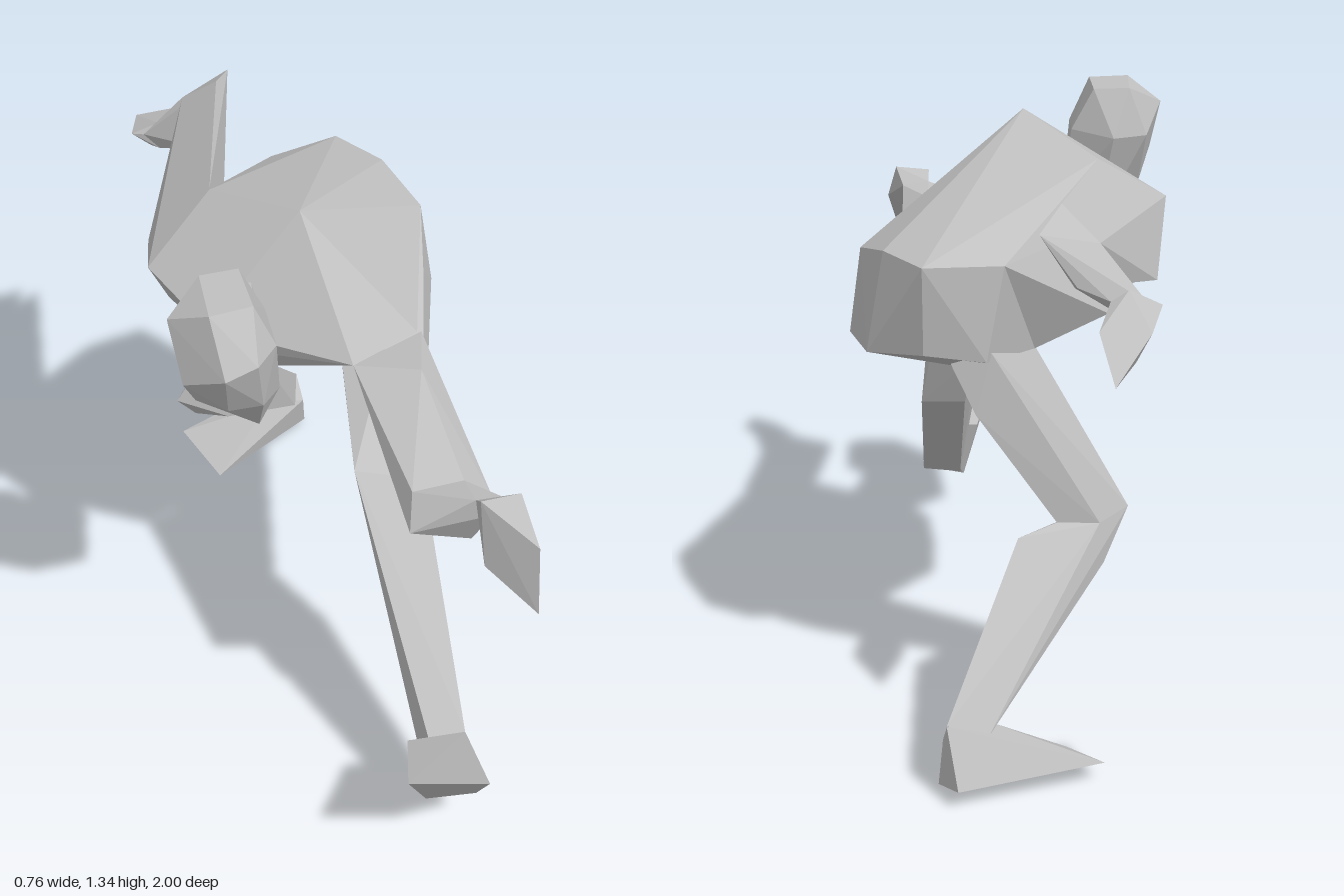
import * as THREE from 'three';
import { ConvexGeometry } from 'three/addons/geometries/ConvexGeometry.js';

const grey = new THREE.MeshStandardMaterial({ color: 0xc0c0c0, flatShading: true });
grey.name = 'plain grey';

// One faceted solid spanned by its corner points
function solid(name, ...rings) {
  const points = rings.flat().map(p => new THREE.Vector3(...p));
  const mesh = new THREE.Mesh(new ConvexGeometry(points), grey);
  mesh.name = name;
  return mesh;
}

// A limb: consecutive cross-sections are joined into segments
function limb(name, segmentNames, rings) {
  const group = new THREE.Group();
  group.name = name;
  segmentNames.forEach((s, i) => group.add(solid(s, rings[i], rings[i + 1])));
  return group;
}

export function createModel() {
  const model = new THREE.Group();
  model.name = 'crouchedRunner';

  // Torso: shoulders, chest and belly, tucked in below the ribs, then the pelvis
  const upperBack = [[-0.03, 1.337, 0.06], [-0.2, 1.27, -0.18], [-0.37, 1.15, -0.06],
    [-0.31, 0.99, -0.16], [-0.22, 0.95, -0.36]];
  const chest = [[-0.26, 1.07, 0.1], [-0.13, 1.02, 0.16], [0.05, 1.045, 0.28], [0.22, 1.06, 0.2],
    [0.025, 0.925, 0.1], [-0.17, 0.935, 0.08]];
  const waist = [[0.2, 1.13, -0.6], [0.29, 1.13, -0.46], [0.35, 1.09, -0.29],
    [0.02, 1.12, -0.55], [-0.05, 0.88, -0.4], [0.085, 0.845, -0.18]];
  const seat = [[0.38, 0.88, -0.27], [0.33, 0.9, -0.48], [0.06, 0.9, -0.56],
    [0.2, 0.92, -0.57], [0.1, 0.815, -0.35]];
  model.add(solid('torso', upperBack, chest, waist));
  model.add(solid('pelvis', waist, seat));

  // Head, bowed forward, and neck
  model.add(solid('head', [
    [-0.385, 1.29, 0.36], [-0.305, 1.34, 0.44], [-0.205, 1.34, 0.42], [-0.3, 1.34, 0.28],
    [-0.21, 1.34, 0.27], [-0.155, 1.235, 0.28], [-0.155, 1.23, 0.42], [-0.285, 1.215, 0.515],
    [-0.21, 1.235, 0.5], [-0.365, 1.16, 0.43], [-0.33, 1.07, 0.37], [-0.345, 1.22, 0.275],
    [-0.26, 1.22, 0.235], [-0.27, 1.09, 0.45], [-0.19, 1.09, 0.445], [-0.13, 1.04, 0.32],
    [-0.18, 0.95, 0.33], [-0.22, 0.97, 0.31]]));
  model.add(solid('neck', [
    [-0.3, 1.12, 0.28], [-0.17, 1.14, 0.31], [-0.14, 1.03, 0.31], [-0.19, 0.96, 0.32],
    [-0.25, 1.03, 0.31], [-0.26, 1.05, 0.08], [-0.12, 1.03, 0.2], [-0.15, 1.18, 0.08],
    [-0.19, 0.95, 0.1]]));

  // Left arm reaching forward, slim at the bent wrist
  model.add(limb('leftArm', ['leftUpperArm', 'leftForearm', 'leftHand'], [
    [[0.05, 1.045, 0.28], [0.19, 1.07, 0.36], [0.23, 1.06, 0.2], [0.1, 0.93, 0.25], [0.22, 0.935, 0.25]],
    [[0.1, 0.96, 0.65], [0.085, 0.885, 0.7], [0.23, 0.833, 0.685], [0.225, 0.845, 0.59],
      [0.29, 0.9, 0.63], [0.22, 0.965, 0.64]],
    [[0.22, 0.985, 0.735], [0.29, 0.975, 0.73], [0.26, 0.945, 0.745]],
    [[0.22, 1.01, 0.77], [0.31, 1.018, 0.77], [0.335, 0.93, 0.8], [0.32, 0.96, 0.89],
      [0.315, 0.81, 0.93], [0.225, 0.86, 0.81]],
  ]));

  // Right arm swung back, forearm turned outwards
  model.add(limb('rightArm', ['rightUpperArm', 'rightForearm', 'rightHand'], [
    [[-0.2, 1.27, -0.18], [-0.37, 1.15, -0.06], [-0.315, 1.0, -0.2], [-0.33, 1.03, -0.36], [-0.15, 1.1, -0.3]],
    [[-0.1, 1.29, -0.66], [-0.05, 1.255, -0.78], [-0.18, 1.22, -0.72], [-0.13, 1.14, -0.78], [-0.13, 1.1, -0.65]],
    [[-0.2, 1.11, -0.78], [-0.28, 1.1, -0.76], [-0.24, 1.06, -0.75]],
    [[-0.31, 1.1, -0.77], [-0.24, 1.13, -0.76], [-0.28, 1.08, -0.9], [-0.17, 1.085, -0.91],
      [-0.2, 0.995, -1.0], [-0.25, 1.005, -0.865]],
  ]));

  // Left leg striding forward
  model.add(limb('leftLeg', ['leftThigh', 'leftShin'], [
    [[0.32, 1.0, -0.13], [0.35, 1.09, -0.29], [0.38, 0.88, -0.27], [0.34, 0.8, -0.14],
      [0.1, 0.92, -0.13], [0.12, 0.82, -0.2]],
    [[0.045, 0.775, 0.33], [0.21, 0.735, 0.345], [0.205, 0.65, 0.27], [0.085, 0.64, 0.27]],
    [[0.14, 0.27, 0.73], [0.23, 0.27, 0.73], [0.245, 0.12, 0.77], [0.14, 0.11, 0.77],
      [0.12, 0.48, 0.345], [0.235, 0.48, 0.345]],
  ]));
  model.add(solid('leftFoot', [
    [0.09, 0.27, 0.73], [0.23, 0.27, 0.73], [0.248, 0.12, 0.79], [0.13, 0.105, 0.77],
    [0.035, 0.365, 0.95], [0.21, 0.38, 1.0]]));

  // Right leg pushing off behind
  model.add(limb('rightLeg', ['rightThigh', 'rightShin'], [
    [[-0.05, 0.88, -0.38], [0.05, 0.92, -0.55], [0.14, 0.9, -0.565], [0.12, 0.81, -0.35],
      [0.085, 0.775, -0.555], [0.075, 0.71, -0.42]],
    [[-0.27, 0.49, -0.4], [-0.14, 0.448, -0.36], [-0.1, 0.49, -0.5], [-0.2, 0.48, -0.48]],
    [[-0.01, 0.475, -0.555], [-0.21, 0.38, -0.48], [0.05, 0.135, -0.79], [0.13, 0.118, -0.8],
      [0.15, 0.17, -0.88], [0.06, 0.13, -0.86]],
  ]));
  model.add(solid('rightFoot', [
    [0.05, 0.135, -0.8], [0.16, 0.11, -0.83], [0.15, 0.17, -0.885], [0.17, 0.016, -0.86],
    [0.125, 0.045, -0.95], [-0.2, 0.05, -0.83], [-0.12, 0, -0.665]]));

  return model;
}
